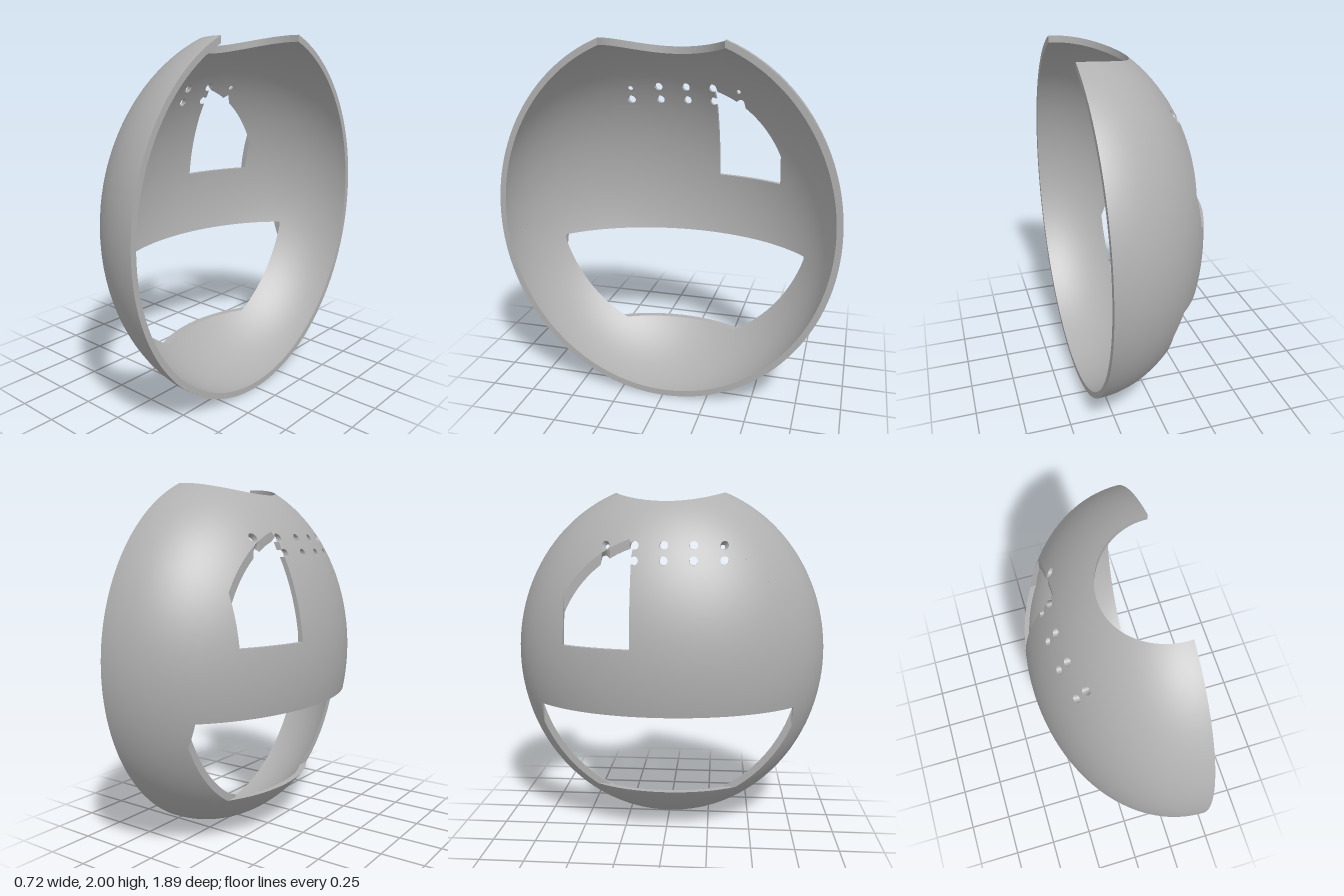
import * as THREE from 'three';

// Half-ellipsoid shell: open rim in the plane x = CX, dome bulging towards -x
const CX = 0.362, CY = 1.0315;
const OUTER = { a: 0.725, b: 1.0315, c: 0.945, side: 1 };
const INNER = { a: 0.70, b: 0.997, c: 0.912, side: -1 };
const LIMIT = 0.09; // longest edge in the unrolled dome
const VENT_R = 0.023;

const root = (v) => Math.sqrt(Math.max(0, v));
const lerp = (a, b, t) => a + (b - a) * t;

// Height above the centre, and sideways reach, of a surface at a given x
const rise = (s, x, z) => s.b * root(1 - ((x - CX) / s.a) ** 2 - (z / s.c) ** 2);
const reach = (s, x, y) => s.c * root(1 - ((x - CX) / s.a) ** 2 - ((y - CY) / s.b) ** 2);

// n points from f(0) up to, but not including, f(1)
const sample = (n, f) => Array.from({ length: n }, (_, i) => f(i / n));
const line = (n, p, q) => sample(n, (t) => [lerp(p[0], q[0], t), lerp(p[1], q[1], t)]);
const arc = (n, z, y, r, from, to) => sample(n, (t) => {
  const g = THREE.MathUtils.degToRad(lerp(from, to, t));
  return [z + r * Math.cos(g), y + r * Math.sin(g)];
});

// Every loop is a list of [z, y] points on surface s

// Open rim, interrupted at the top by a round vertical notch
function rimLoop(s) {
  const nx = 0.345, r = 0.328;
  const end = Math.PI / 2 + Math.asin((CX - nx) / r);
  const notch = sample(40, (t) => {
    const g = lerp(-end, end, t), z = r * Math.sin(g);
    return [z, CY + rise(s, nx - r * Math.cos(g), z)];
  });
  const start = Math.asin((r * Math.sin(end)) / s.c);
  const rim = sample(130, (t) => {
    const g = lerp(start, 2 * Math.PI - start, t);
    return [s.c * Math.sin(g), CY + s.b * Math.cos(g)];
  });
  return [...notch, ...rim];
}

// Wide lower opening, bounded inwards by a plane x = const
function slotLoop(s) {
  const x = -0.015, w = 0.73, top = 0.785, low = 0.275;
  const y1 = CY - rise(s, x, w), zl = reach(s, x, low);
  const curve = (t) => {
    const y = lerp(y1, low, t);
    return [reach(s, x, y), y];
  };
  return [
    ...line(40, [-w, top], [w, top]),
    ...line(4, [w, top], [w, y1]),
    ...sample(24, curve),
    ...line(20, [zl, low], [-zl, low]),
    ...sample(24, (t) => { const [z, y] = curve(1 - t); return [-z, y]; }),
    ...line(4, [-w, y1], [-w, top]),
  ];
}

// Upper window, merged with the three vents it runs into
function windowLoop(s) {
  const x = -0.15, far = -0.56, near = -0.175, low = 1.155;
  const topAt = (z) => {
    const d = VENT_R ** 2 - (z + 0.325) ** 2;
    return Math.max(CY + rise(s, x, z), d > 0 ? 1.62 + Math.sqrt(d) : 0);
  };
  return [
    ...line(12, [near, low], [far, low]),
    ...line(8, [far, low], [far, topAt(far)]),
    ...sample(50, (t) => { const z = lerp(far, -0.187, t); return [z, topAt(z)]; }),
    [-0.187, topAt(-0.187)],
    ...arc(18, -0.16, 1.70, VENT_R, 170, -131),
    ...arc(18, -0.16, 1.62, VENT_R, 131, -131),
    ...line(14, [near, 1.60], [near, low]),
  ];
}

// Small round vents; the outermost upper pair narrows inwards
const vent = (z, y) => (s) => arc(20, z, y, VENT_R, 0, 360);
const taperedVent = (sign) => (s) => s.side > 0
  ? arc(20, sign * 0.325, 1.70, VENT_R, 0, 360)
  : arc(20, sign * 0.316, 1.69, 0.012, 0, 360);

// Unroll [z, y] on the dome to a flat disc, and roll it back
function unroll(s, [z, y]) {
  const u = z / s.c, v = (y - CY) / s.b, h = Math.hypot(u, v);
  const k = h > 1e-6 ? Math.atan2(h, root(1 - h * h)) / h : 1;
  return new THREE.Vector2(u * k, v * k);
}
function roll(s, p) {
  const g = p.length(), k = g > 1e-6 ? Math.sin(g) / g : 1;
  const n = [-Math.cos(g), p.y * k, p.x * k];
  return {
    pos: new THREE.Vector3(CX + s.a * n[0], CY + s.b * n[1], s.c * n[2]),
    nor: new THREE.Vector3(n[0] / s.a, n[1] / s.b, n[2] / s.c).normalize().multiplyScalar(s.side),
  };
}

// One curved skin: triangulate the flat outline, split long edges, roll it up
function skinGeometry(s, loops) {
  const flat = loops.map((l) => l.map((p) => unroll(s, p)));
  const all = flat.flat();
  const faces = THREE.ShapeUtils.triangulateShape(flat[0], flat.slice(1));
  const pos = [], nor = [];
  const emit = (a, b, c) => {
    const d = [a.distanceTo(b), b.distanceTo(c), c.distanceTo(a)];
    const m = Math.max(...d);
    if (m > LIMIT) {
      if (m === d[1]) [a, b, c] = [b, c, a];
      else if (m === d[2]) [a, b, c] = [c, a, b];
      const mid = a.clone().add(b).multiplyScalar(0.5);
      emit(a, mid, c);
      emit(mid, b, c);
      return;
    }
    for (const p of s.side > 0 ? [a, b, c] : [a, c, b]) {
      const v = roll(s, p);
      pos.push(...v.pos);
      nor.push(...v.nor);
    }
  };
  for (const f of faces) {
    const [a, b, c] = f.map((i) => all[i]);
    if (THREE.ShapeUtils.area([a, b, c]) >= 0) emit(a, b, c);
    else emit(a, c, b);
  }
  const g = new THREE.BufferGeometry();
  g.setAttribute('position', new THREE.Float32BufferAttribute(pos, 3));
  g.setAttribute('normal', new THREE.Float32BufferAttribute(nor, 3));
  return g;
}

// Cut edge joining a loop on the outer skin to the same loop on the inner skin
function edgeGeometry(outer, inner) {
  const on = (s, p) => roll(s, unroll(s, p)).pos;
  const pos = [];
  outer.forEach((p, i) => {
    const j = (i + 1) % outer.length;
    const a = on(OUTER, p), b = on(OUTER, outer[j]);
    const c = on(INNER, inner[i]), d = on(INNER, inner[j]);
    pos.push(...a, ...c, ...b, ...b, ...c, ...d);
  });
  const g = new THREE.BufferGeometry();
  g.setAttribute('position', new THREE.Float32BufferAttribute(pos, 3));
  g.computeVertexNormals();
  return g;
}

export function createModel() {
  const group = new THREE.Group();
  group.name = 'domeShell';
  const grey = new THREE.MeshStandardMaterial({ color: 0xb0b0b0, side: THREE.DoubleSide });
  grey.name = 'grey';

  const cuts = [['rimEdge', rimLoop], ['slotEdge', slotLoop], ['windowEdge', windowLoop]];
  for (const z of [0.325, 0.16, 0]) cuts.push(['ventEdge', vent(z, 1.62)]);
  for (const z of [0.16, 0]) cuts.push(['ventEdge', vent(z, 1.70)]);
  for (const sign of [1, -1]) cuts.push(['ventEdge', taperedVent(sign)]);

  // Outline runs counter-clockwise, holes clockwise
  const pairs = cuts.map(([name, f], i) => {
    const o = f(OUTER), n = f(INNER);
    const clockwise = THREE.ShapeUtils.area(o.map(([x, y]) => ({ x, y }))) < 0;
    if (clockwise === (i === 0)) { o.reverse(); n.reverse(); }
    return { name, o, n };
  });

  const add = (name, geometry) => {
    const mesh = new THREE.Mesh(geometry, grey);
    mesh.name = name;
    group.add(mesh);
  };
  add('outerSkin', skinGeometry(OUTER, pairs.map((p) => p.o)));
  add('innerSkin', skinGeometry(INNER, pairs.map((p) => p.n)));
  for (const p of pairs) add(p.name, edgeGeometry(p.o, p.n));
  return group;
}
